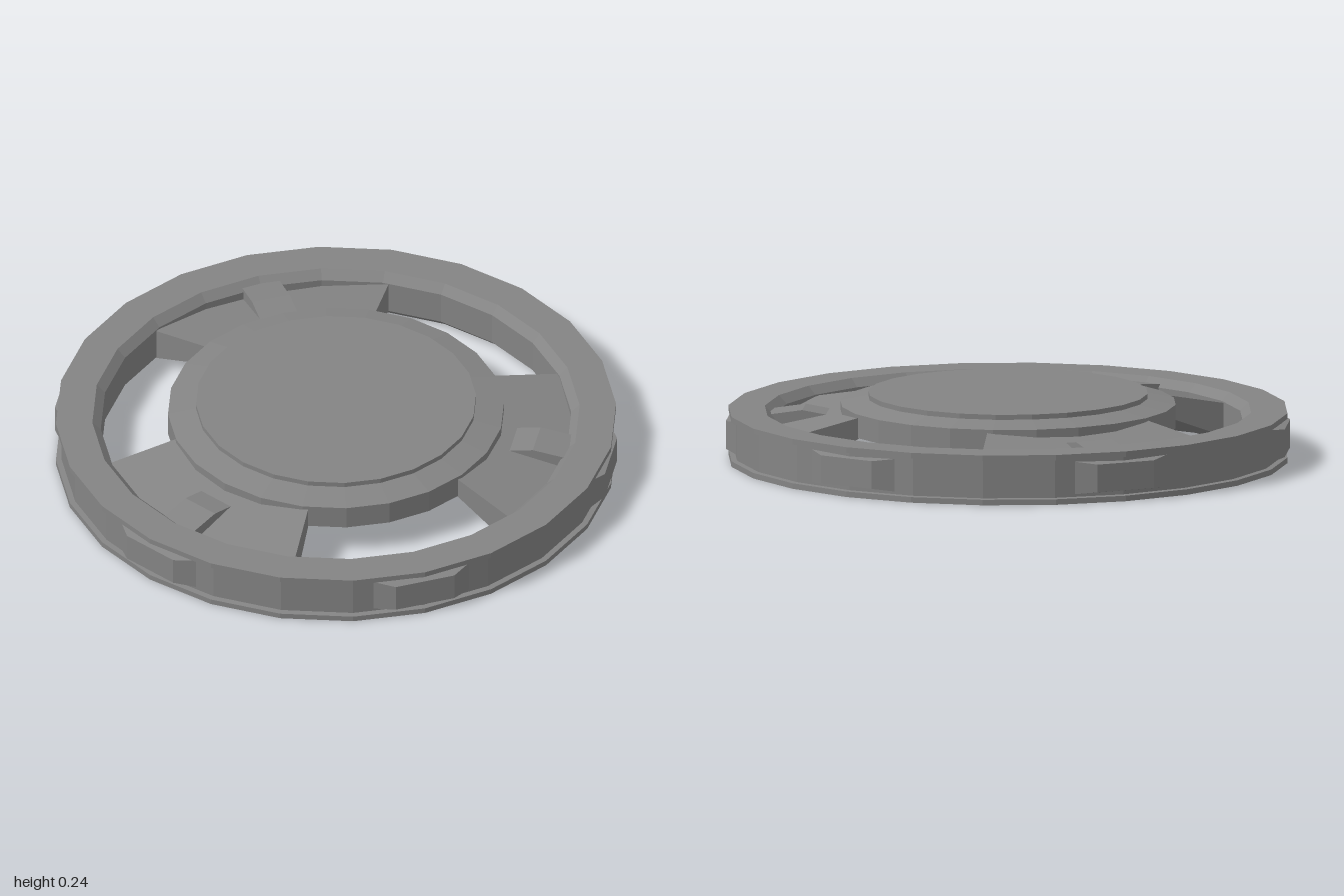
import * as THREE from 'three';
import { ConvexGeometry } from 'three/addons/geometries/ConvexGeometry.js';

const SIDES = 24;

export function createModel() {
  const model = new THREE.Group();
  model.name = 'spokedWheel';
  const grey = new THREE.MeshStandardMaterial({ color: 0x848484 });
  grey.name = 'grey';

  const add = (name, geometry, angle = 0) => {
    const mesh = new THREE.Mesh(geometry, grey);
    mesh.name = name;
    mesh.rotation.y = angle;
    model.add(mesh);
  };

  // Faceted turned part from a [radius, height] profile
  const turned = (profile) => {
    const points = profile.map(([r, y]) => new THREE.Vector2(r, y));
    const g = new THREE.LatheGeometry(points, SIDES).toNonIndexed();
    g.computeVertexNormals();
    return g;
  };

  // Convex solid from cross-sections along x: [x, halfWidth, bottom, top]
  const lofted = (sections) => new ConvexGeometry(sections.flatMap(([x, w, y0, y1]) => [
    new THREE.Vector3(x, y0, -w), new THREE.Vector3(x, y0, w),
    new THREE.Vector3(x, y1, -w), new THREE.Vector3(x, y1, w),
  ]));

  // Rim: flanges above and below a shallow groove, chamfered inner edges
  add('rim', turned([
    [0.84, 0.03], [0.87, 0], [1, 0], [1, 0.02], [0.98, 0.022], [0.98, 0.158],
    [1, 0.16], [1, 0.18], [0.87, 0.18], [0.84, 0.15], [0.84, 0.03],
  ]));

  // Hub: disc with a sloped shoulder and a raised cap
  add('hub', turned([[0, 0.12], [0.6, 0.12], [0.6, 0.205], [0.5, 0.225], [0, 0.225]]));
  add('hubCap', turned([[0.5, 0.22], [0.5, 0.243], [0, 0.243]]));

  // Three wide sloping spokes, each with a wedge on top near the rim
  const spoke = lofted([[0.5, 0.312, 0.12, 0.195], [0.72, 0.439, 0.025, 0.145], [0.86, 0.43, 0.022, 0.113]]);
  const wedge = lofted([[0.64, 0.07, 0.13, 0.161], [0.73, 0.07, 0.12, 0.177], [0.86, 0.07, 0.1, 0.158]]);
  for (let i = 0; i < 3; i++) {
    const angle = (i * Math.PI * 2) / 3;
    add('spoke', spoke, angle);
    add('spokeWedge', wedge, angle);
  }

  // Six bevelled pads around the groove
  const pad = lofted([[0.95, 0.19, 0.03, 0.15], [1, 0.11, 0.04, 0.14]]);
  for (let i = 0; i < 6; i++) add('rimPad', pad, (i * Math.PI) / 3);

  return model;
}
